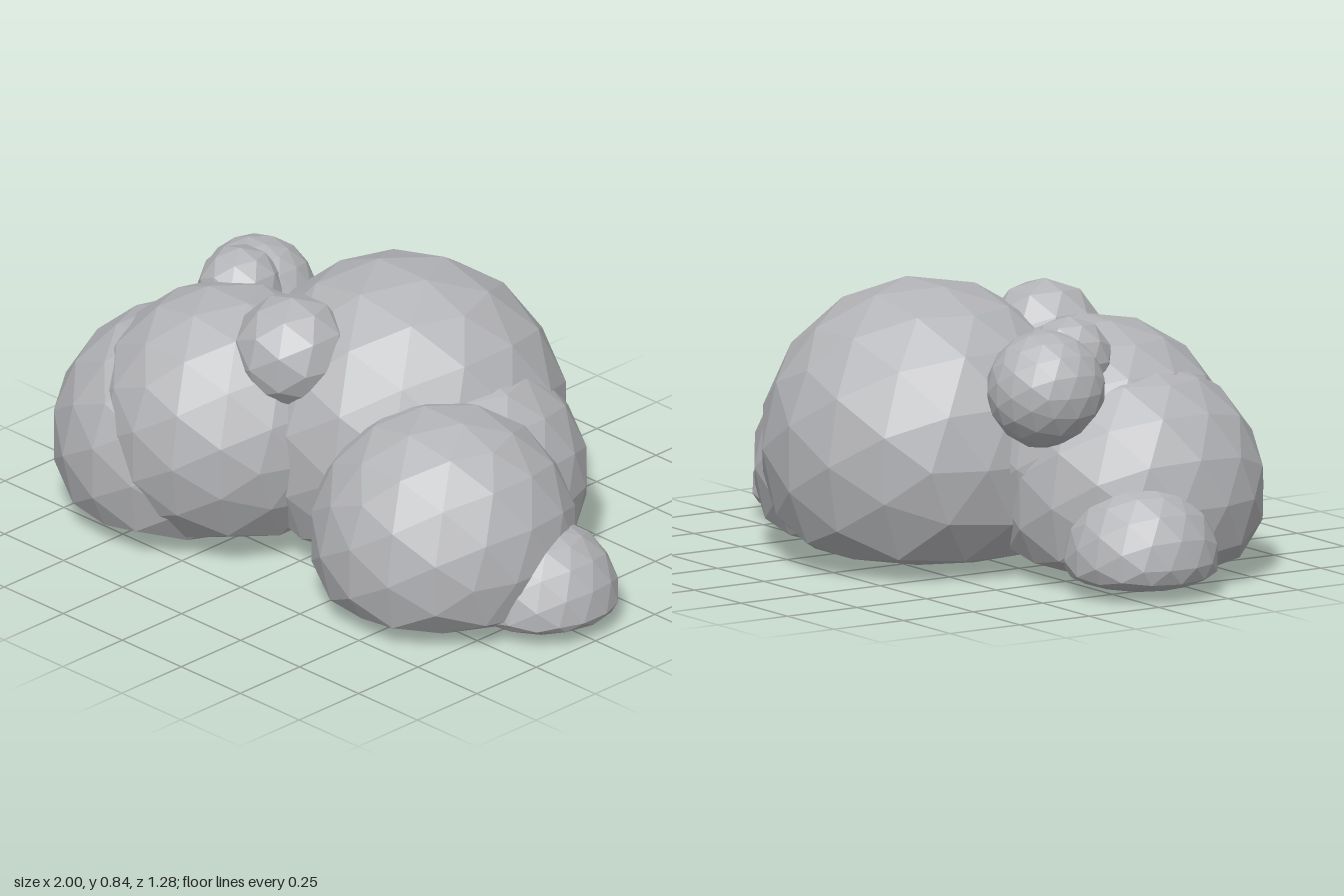
import * as THREE from 'three';

// Each puff: name, centre x, y, z, radius, facet detail
const PUFFS = [
  ['mainPuff', 0.03, 0.36, -0.15, 0.5, 2],
  ['backLeftPuff', 0.28, 0.26, -0.14, 0.39, 2],
  ['frontLeftPuff', 0.48, 0.225, 0.125, 0.403, 2],
  ['leftEndPuff', 0.77, 0.08, 0, 0.235, 2],
  ['frontRightPuff', -0.49, 0.26, 0.24, 0.407, 2],
  ['innerRightPuff', -0.34, 0.36, 0.215, 0.41, 2],
  ['rightEndPuff', -0.77, 0.11, 0.09, 0.235, 2],
  ['topRightPuff', -0.515, 0.6, -0.08, 0.18, 2],
  ['topRightSmallPuff', -0.475, 0.675, 0.03, 0.13, 1],
  ['topFrontPuff', -0.08, 0.66, 0.205, 0.18, 1],
];

// Everything below BASE is squashed into a shallow, nearly flat underside
const BASE = 0.08;
const SQUASH = 0.3;

function makePuff([name, x, y, z, radius, detail], material) {
  const geometry = new THREE.IcosahedronGeometry(radius, detail);
  geometry.translate(x, y, z);
  const p = geometry.attributes.position;
  for (let i = 0; i < p.count; i++) {
    const h = p.getY(i);
    if (h < BASE) p.setY(i, BASE + (h - BASE) * SQUASH);
  }
  geometry.computeVertexNormals();
  const mesh = new THREE.Mesh(geometry, material);
  mesh.name = name;
  return mesh;
}

export function createModel() {
  const cloud = new THREE.Group();
  cloud.name = 'cloud';
  const material = new THREE.MeshStandardMaterial({ color: 0xb3b4b7, flatShading: true });
  material.name = 'cloud grey';
  for (const puff of PUFFS) cloud.add(makePuff(puff, material));
  return cloud;
}
